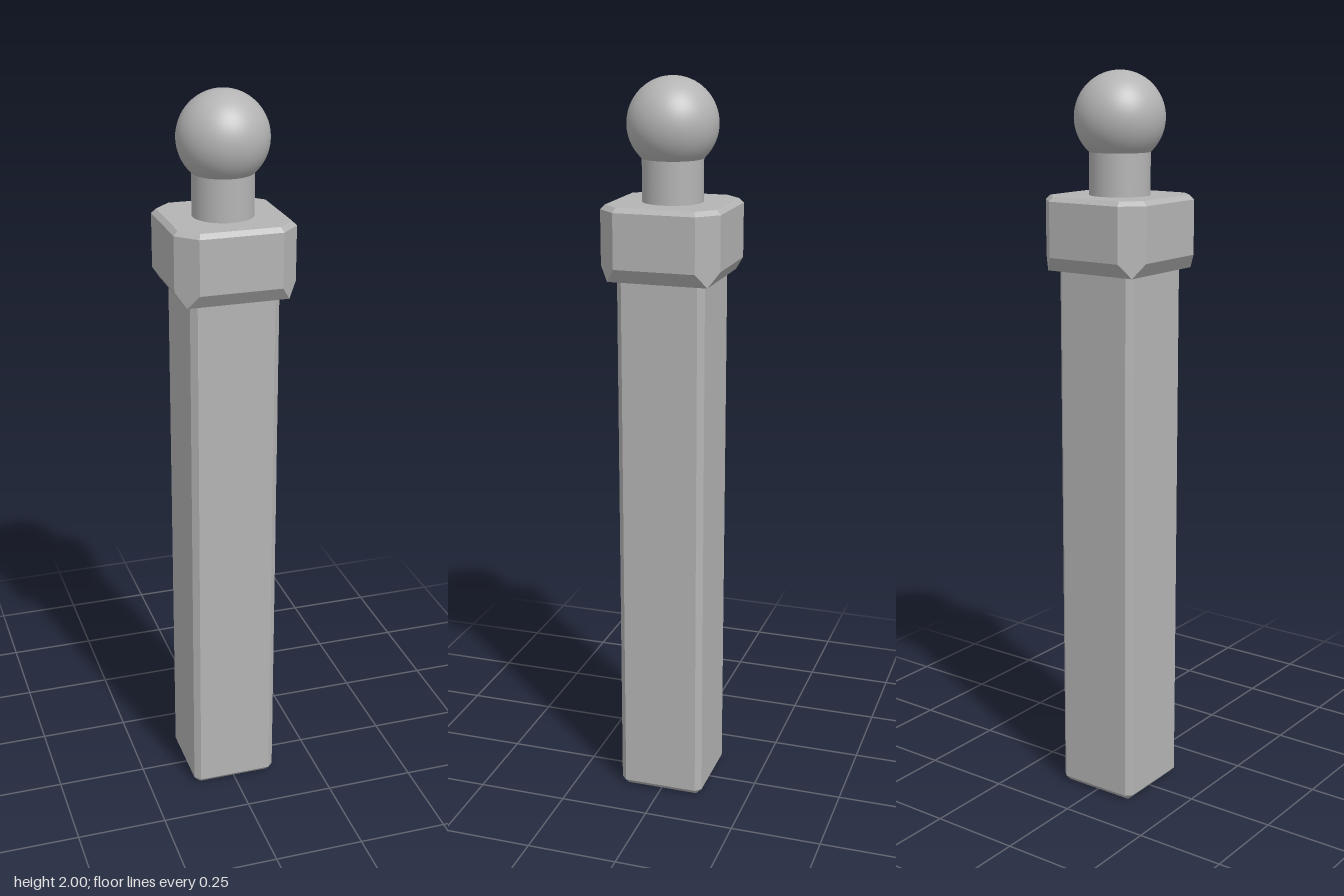
import * as THREE from 'three';

// Square cross-section with cut corners: half = half width, flat = half length of each side
function ring([y, half, flat]) {
  return [[half, -flat], [half, flat], [flat, half], [-flat, half],
    [-half, flat], [-half, -flat], [-flat, -half], [flat, -half]]
    .map(([x, z]) => [x, y, z]);
}

// Faceted solid through a stack of sections, listed from bottom to top
function chamferedBlock(sections) {
  const rings = sections.map(ring);
  const pos = [];
  const tri = (...points) => points.forEach((p) => pos.push(...p));
  for (let i = 0; i < 8; i++) {
    const j = (i + 1) % 8;
    for (let k = 0; k < rings.length - 1; k++) {
      const lo = rings[k], up = rings[k + 1];
      tri(lo[i], up[i], up[j]);
      tri(lo[i], up[j], lo[j]);
    }
    const bottom = rings[0], top = rings[rings.length - 1];
    tri([0, bottom[0][1], 0], bottom[i], bottom[j]);
    tri([0, top[0][1], 0], top[j], top[i]);
  }
  const geometry = new THREE.BufferGeometry();
  geometry.setAttribute('position', new THREE.Float32BufferAttribute(pos, 3));
  geometry.computeVertexNormals();
  return geometry;
}

export function createModel() {
  const group = new THREE.Group();
  const grey = new THREE.MeshStandardMaterial({ color: 0xb4b4b4 });
  grey.name = 'grey';

  const add = (name, geometry, y = 0) => {
    const mesh = new THREE.Mesh(geometry, grey);
    mesh.name = name;
    mesh.position.y = y;
    group.add(mesh);
  };

  // Long square shaft with bevelled edges and foot
  add('shaft', chamferedBlock([
    [0, 0.105, 0.101], [0.016, 0.12, 0.104], [1.5, 0.12, 0.104],
  ]));

  // Wide collar: cut corners run down to a square underside
  add('collar', chamferedBlock([
    [1.484, 0.136, 0.136], [1.522, 0.162, 0.11], [1.668, 0.162, 0.11], [1.68, 0.15, 0.105],
  ]));

  // Round neck and ball on top
  add('neck', new THREE.CylinderGeometry(0.081, 0.081, 0.14, 48, 1, true), 1.74);
  add('ball', new THREE.SphereGeometry(0.12, 48, 32), 1.88);

  return group;
}
